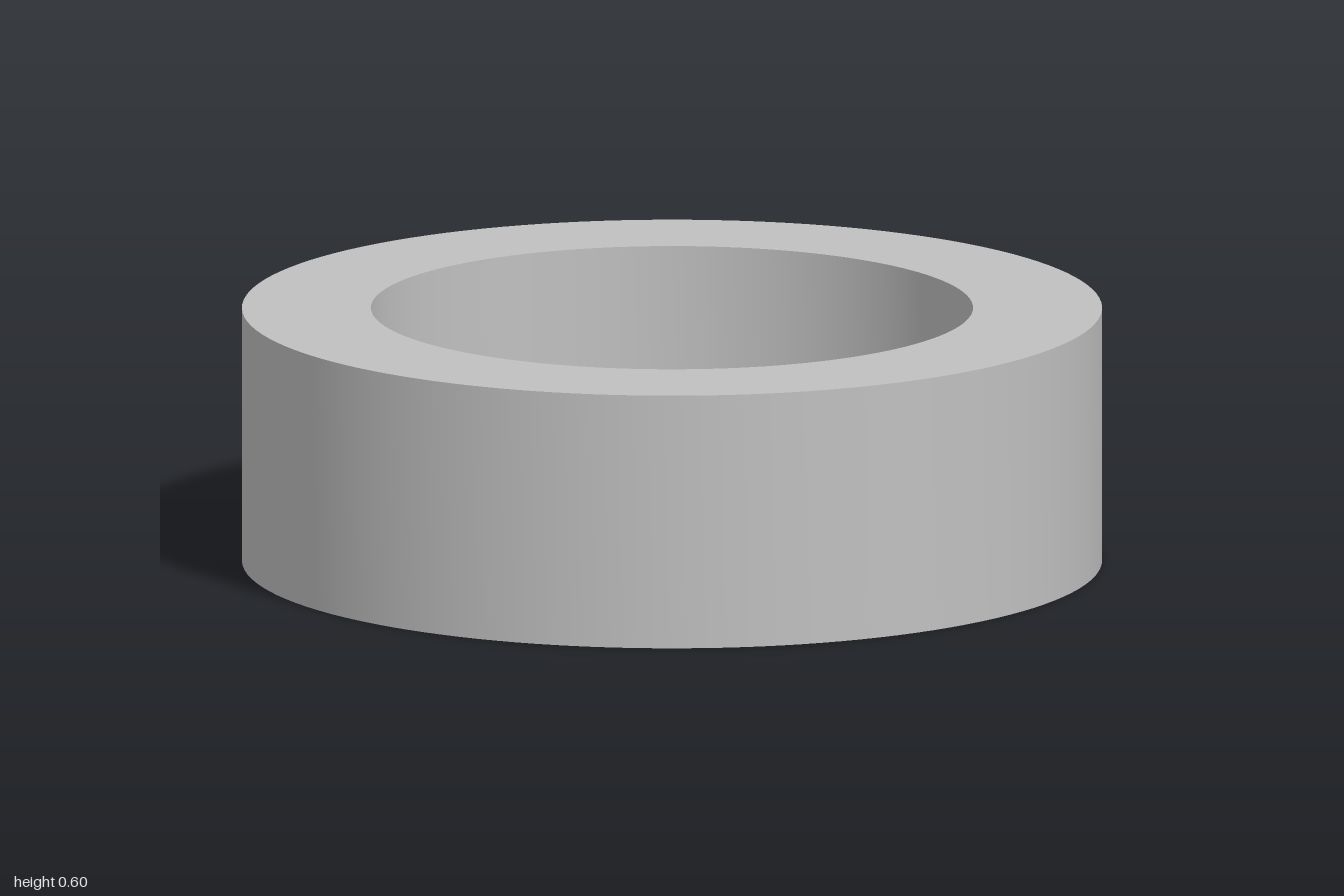
import * as THREE from 'three';
import { toCreasedNormals } from 'three/addons/utils/BufferGeometryUtils.js';

const HEIGHT = 0.6, FLOOR = 0.1;
const TYRE_R = 1, RIM_R = 0.77, BORE_R = 0.7;
const HUB_R = 0.118, BOLT_R = 0.056, BOLT_CIRCLE = 0.216;

// Upright disc standing on y = 0, pierced by round holes given as [x, y, radius]
function piercedDisc(radius, height, holes) {
  const shape = new THREE.Shape().absarc(0, 0, radius, 0, Math.PI * 2, false);
  for (const [x, y, r] of holes) {
    shape.holes.push(new THREE.Path().absarc(x, y, r, 0, Math.PI * 2, true));
  }
  const geometry = new THREE.ExtrudeGeometry(shape, {
    depth: height, bevelEnabled: false, curveSegments: 64,
  });
  geometry.rotateX(-Math.PI / 2);
  return toCreasedNormals(geometry, 0.5);
}

export function createModel() {
  const wheel = new THREE.Group();
  wheel.name = 'wheel';
  const grey = new THREE.MeshStandardMaterial({ color: 0xc0c0c0 });
  grey.name = 'light grey';

  const add = (name, geometry) => {
    const mesh = new THREE.Mesh(geometry, grey);
    mesh.name = name;
    wheel.add(mesh);
  };

  // Outer tyre and the rim wall nested inside it
  add('tyre', piercedDisc(TYRE_R, HEIGHT, [[0, 0, RIM_R]]));
  add('rim', piercedDisc(RIM_R, HEIGHT, [[0, 0, BORE_R]]));

  // Floor plate with the axle hole and four bolt holes
  const holes = [[0, 0, HUB_R]];
  for (let i = 0; i < 4; i++) {
    const a = (i * Math.PI) / 2;
    holes.push([BOLT_CIRCLE * Math.cos(a), BOLT_CIRCLE * Math.sin(a), BOLT_R]);
  }
  add('hubPlate', piercedDisc(BORE_R, FLOOR, holes));

  return wheel;
}
